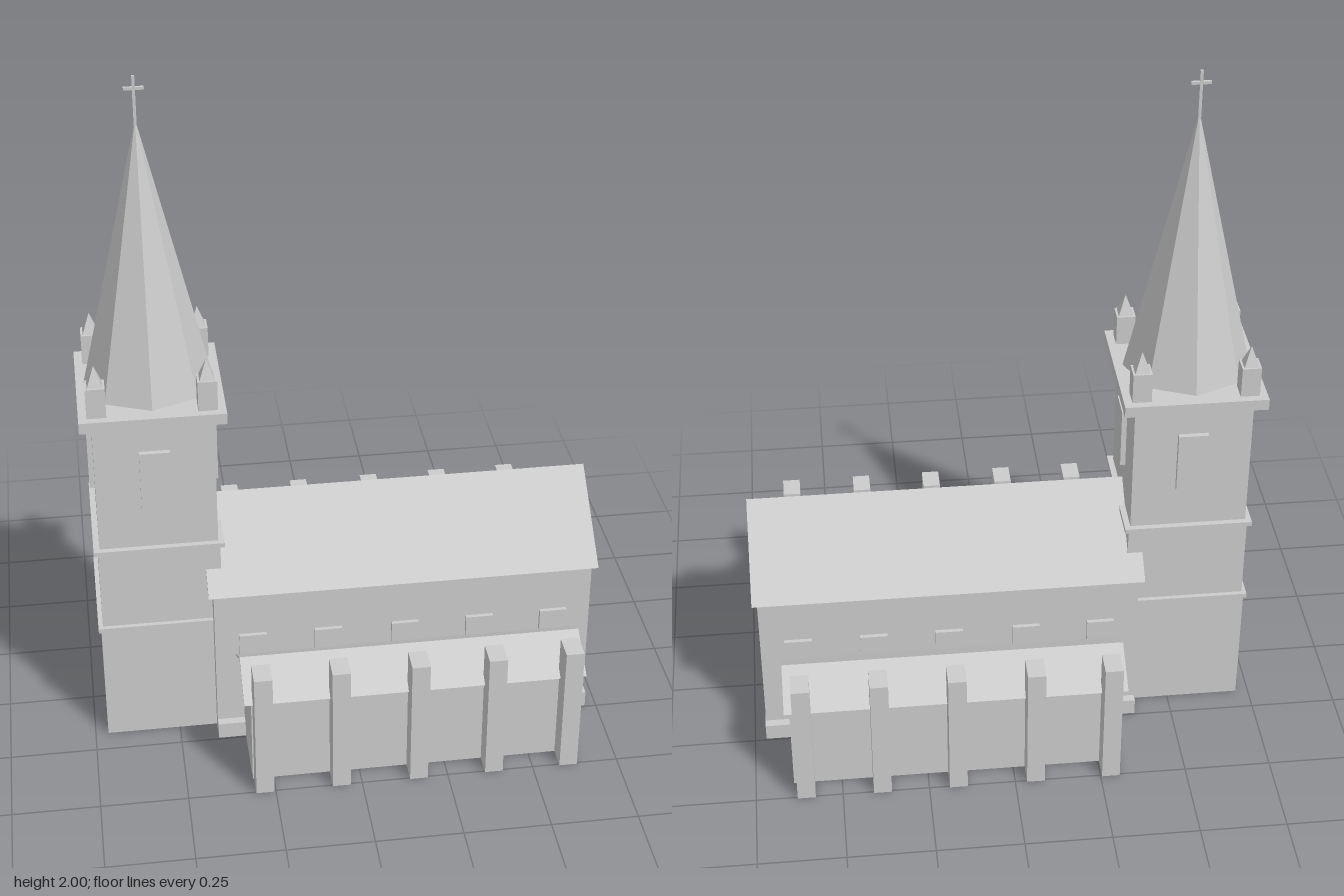
import * as THREE from 'three';

export function createModel() {
  const church = new THREE.Group();
  church.name = 'church';
  const stone = new THREE.MeshStandardMaterial({ color: 0xcccccc, flatShading: true });

  const add = (parent, name, geometry, x = 0, y = 0, z = 0) => {
    const mesh = new THREE.Mesh(geometry, stone);
    mesh.name = name;
    mesh.position.set(x, y, z);
    parent.add(mesh);
    return mesh;
  };
  // Box given by its extents on each axis
  const box = (parent, name, x0, x1, y0, y1, z0, z1) =>
    add(parent, name, new THREE.BoxGeometry(x1 - x0, y1 - y0, z1 - z0),
      (x0 + x1) / 2, (y0 + y1) / 2, (z0 + z1) / 2);
  // Cross-section of [z, y] points swept along x
  const sweep = (parent, name, points, x0, x1, z = 0) => {
    const shape = new THREE.Shape(points.map(([pz, py]) => new THREE.Vector2(-pz, py)));
    const g = new THREE.ExtrudeGeometry(shape, { depth: x1 - x0, bevelEnabled: false });
    g.rotateY(Math.PI / 2);
    return add(parent, name, g, x0, 0, z);
  };
  // Thin pitched roof: half span, eave height, ridge height, slab thickness
  const roof = (parent, name, w, eave, ridge, t, x0, x1, z = 0) => {
    const inner = w - t * w / (ridge - eave);
    sweep(parent, name, [[w, eave], [0, ridge], [-w, eave],
      [-inner, eave], [0, ridge - t], [inner, eave]], x0, x1, z);
  };

  // Nave
  const nave = new THREE.Group();
  nave.name = 'nave';
  church.add(nave);
  box(nave, 'navePlinth', -0.39, 0.717, 0, 0.05, -0.245, 0.245);
  sweep(nave, 'naveWalls', [[-0.22, 0], [0.22, 0], [0.22, 0.5], [0, 0.69], [-0.22, 0.5]], -0.39, 0.715);
  roof(nave, 'naveRoof', 0.24, 0.5, 0.708, 0.012, -0.405, 0.73);

  // Side aisles with buttresses, built once per side
  const bays = [-0.28, -0.06, 0.165, 0.385, 0.605];
  for (const s of [1, -1]) {
    const aisle = new THREE.Group();
    aisle.name = s > 0 ? 'frontAisle' : 'backAisle';
    church.add(aisle);
    const mid = s * 0.335;
    sweep(aisle, 'aisleWalls', [[-0.115, 0], [0.105, 0], [0.105, 0.28], [0, 0.35], [-0.115, 0.28]]
      .map(([z, y]) => [z * s, y]), -0.31, 0.64, mid);
    roof(aisle, 'aisleRoof', 0.122, 0.28, 0.36, 0.008, -0.33, 0.655, mid);
    for (const x of bays) {
      add(aisle, 'buttress', new THREE.BoxGeometry(0.052, 0.4, 0.075), x, 0.2, s * 0.4675);
      const strut = add(aisle, 'strut', new THREE.CylinderGeometry(0.014, 0.014, 0.12, 8), x, 0.325, s * 0.4);
      strut.rotation.x = s * Math.PI / 4;
      add(aisle, 'wallPanel', new THREE.BoxGeometry(0.08, 0.12, 0.012), x, 0.295, s * 0.226);
    }
  }

  // Tower, centred on its own axis
  const tower = new THREE.Group();
  tower.name = 'tower';
  tower.position.x = -0.535;
  church.add(tower);
  const block = (name, r, y0, y1) => box(tower, name, -r, r, y0, y1, -r, r);
  block('lowerStage', 0.178, 0, 0.38);
  block('middleStage', 0.173, 0.38, 0.645);
  block('belfryStage', 0.168, 0.645, 1.056);
  block('lowerStringCourse', 0.186, 0.373, 0.387);
  block('upperStringCourse', 0.185, 0.638, 0.652);
  block('cornice', 0.202, 1.055, 1.088);

  // Belfry openings on all four faces
  for (let i = 0; i < 4; i++) {
    const side = new THREE.Group();
    side.name = 'belfrySide';
    side.rotation.y = i * Math.PI / 2;
    tower.add(side);
    box(side, 'belfryPanel', -0.043, 0.043, 0.78, 0.965, 0.165, 0.183);
  }

  // Corner pinnacles
  for (const sx of [-1, 1]) for (const sz of [-1, 1]) {
    const pinnacle = new THREE.Group();
    pinnacle.name = 'pinnacle';
    pinnacle.position.set(sx * 0.152, 0, sz * 0.152);
    tower.add(pinnacle);
    box(pinnacle, 'pinnacleBase', -0.027, 0.027, 1.085, 1.178, -0.027, 0.027);
    const cap = new THREE.ConeGeometry(0.03, 0.06, 4);
    cap.rotateY(Math.PI / 4);
    add(pinnacle, 'pinnacleCap', cap, 0, 1.207, 0);
  }

  // Octagonal spire and cross
  add(tower, 'spire', new THREE.ConeGeometry(0.18, 0.78, 8), 0, 1.49, 0);
  box(tower, 'crossPost', -0.004, 0.004, 1.86, 2, -0.004, 0.004);
  box(tower, 'crossArm', -0.027, 0.027, 1.961, 1.969, -0.004, 0.004);

  return church;
}
